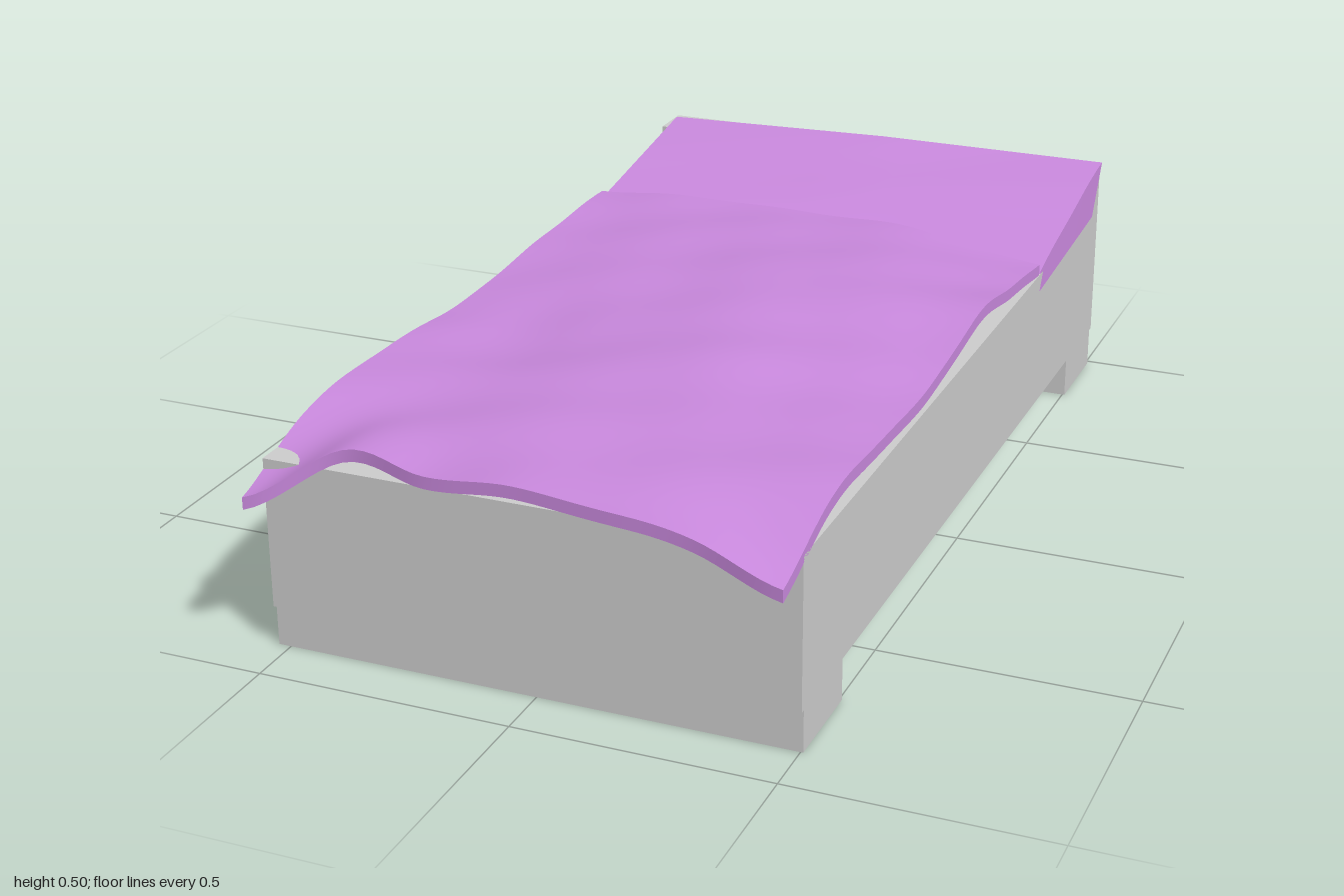
import * as THREE from 'three';

const grey = new THREE.MeshStandardMaterial({ color: 0xcccccc });
const lilac = new THREE.MeshStandardMaterial({ color: 0xc888dc, side: THREE.DoubleSide });

// Smooth curve through evenly spaced values, t from 0 to 1
function sample(values, t) {
  const s = THREE.MathUtils.clamp(t, 0, 1) * (values.length - 1);
  const i = Math.min(Math.floor(s), values.length - 2);
  const f = s - i;
  const p1 = values[i], p2 = values[i + 1];
  const p0 = values[i - 1] ?? p1, p3 = values[i + 2] ?? p2;
  const a = (p2 - p0) / 2, b = (p3 - p1) / 2;
  return p1 + f * (a + f * (3 * (p2 - p1) - 2 * a - b + f * (2 * (p1 - p2) + a + b)));
}

function block(name, x0, x1, y0, y1, z0, z1) {
  const mesh = new THREE.Mesh(new THREE.BoxGeometry(x1 - x0, y1 - y0, z1 - z0), grey);
  mesh.position.set((x0 + x1) / 2, (y0 + y1) / 2, (z0 + z1) / 2);
  mesh.name = name;
  return mesh;
}

// Unit box whose vertices are moved by rule(u, v, w, target): u across, v up, w back to front
function mouldedBox(name, nx, nz, rule) {
  const geo = new THREE.BoxGeometry(1, 1, 1, nx, 1, nz);
  const pos = geo.attributes.position;
  const p = new THREE.Vector3();
  for (let i = 0; i < pos.count; i++) {
    rule(pos.getX(i) + 0.5, pos.getY(i) + 0.5, pos.getZ(i) + 0.5, p);
    pos.setXYZ(i, p.x, p.y, p.z);
  }
  geo.computeVertexNormals();
  const mesh = new THREE.Mesh(geo, lilac);
  mesh.name = name;
  return mesh;
}

// Blanket top heights: each row runs across the bed, rows go from back to front
const heights = [
  [0.425, 0.435, 0.44, 0.44, 0.44, 0.43, 0.405],
  [0.42, 0.43, 0.445, 0.45, 0.455, 0.445, 0.43],
  [0.41, 0.43, 0.44, 0.455, 0.465, 0.46, 0.455],
  [0.40, 0.42, 0.435, 0.45, 0.45, 0.44, 0.43],
  [0.415, 0.405, 0.425, 0.45, 0.455, 0.435, 0.42],
  [0.425, 0.42, 0.43, 0.44, 0.44, 0.435, 0.43],
  [0.41, 0.415, 0.435, 0.44, 0.435, 0.435, 0.425],
  [0.335, 0.43, 0.42, 0.43, 0.425, 0.405, 0.36],
];
const frontEdge = [0.975, 0.91, 0.935, 0.94, 0.95, 0.96, 0.995];
const backEdge = [-0.56, -0.56, -0.56, -0.555, -0.55, -0.52, -0.515];

export function createModel() {
  const group = new THREE.Group();
  group.name = 'bed';

  // Bed frame
  group.add(
    block('bedBase', -0.525, 0.505, 0.083, 0.38, -1, 0.9),
    block('headboard', -0.525, 0.505, 0.38, 0.475, -1, -0.905),
    block('frontFoot', -0.525, 0.505, 0, 0.083, 0.695, 0.89),
    block('backFoot', -0.525, 0.505, 0, 0.083, -0.987, -0.787),
  );

  // Rumpled blanket with drooping front corners
  group.add(mouldedBox('blanket', 48, 72, (u, v, w, p) => {
    const x = -0.525 + 1.03 * u;
    const z = THREE.MathUtils.lerp(sample(backEdge, u), sample(frontEdge, u), w);
    const y = sample(heights.map((row) => sample(row, u)), w);
    const wrinkle = 0.003 * Math.sin(17 * x + 9 * z) * Math.sin(14 * z - 6 * x + 1);
    p.set(x, y + wrinkle - (1 - v) * 0.024, z);
  }));

  // Wedge pillow leaning on the headboard
  group.add(mouldedBox('pillow', 12, 10, (u, v, w, p) => {
    const top = 0.486 + 0.013 * Math.min(1, 2 * u) - 0.085 * w - 0.03 * w * w * u;
    const bottom = 0.392 - 0.054 * w;
    const shift = THREE.MathUtils.lerp(0, -0.016, w);
    p.set(
      -0.51 + 1.03 * u + shift,
      THREE.MathUtils.lerp(bottom, top, v) + 0.003 * Math.sin(9 * w) * Math.sin(7 * u) * v,
      THREE.MathUtils.lerp(THREE.MathUtils.lerp(-0.89, -0.955, v), THREE.MathUtils.lerp(-0.5, -0.53, v), w),
    );
  }));

  return group;
}
